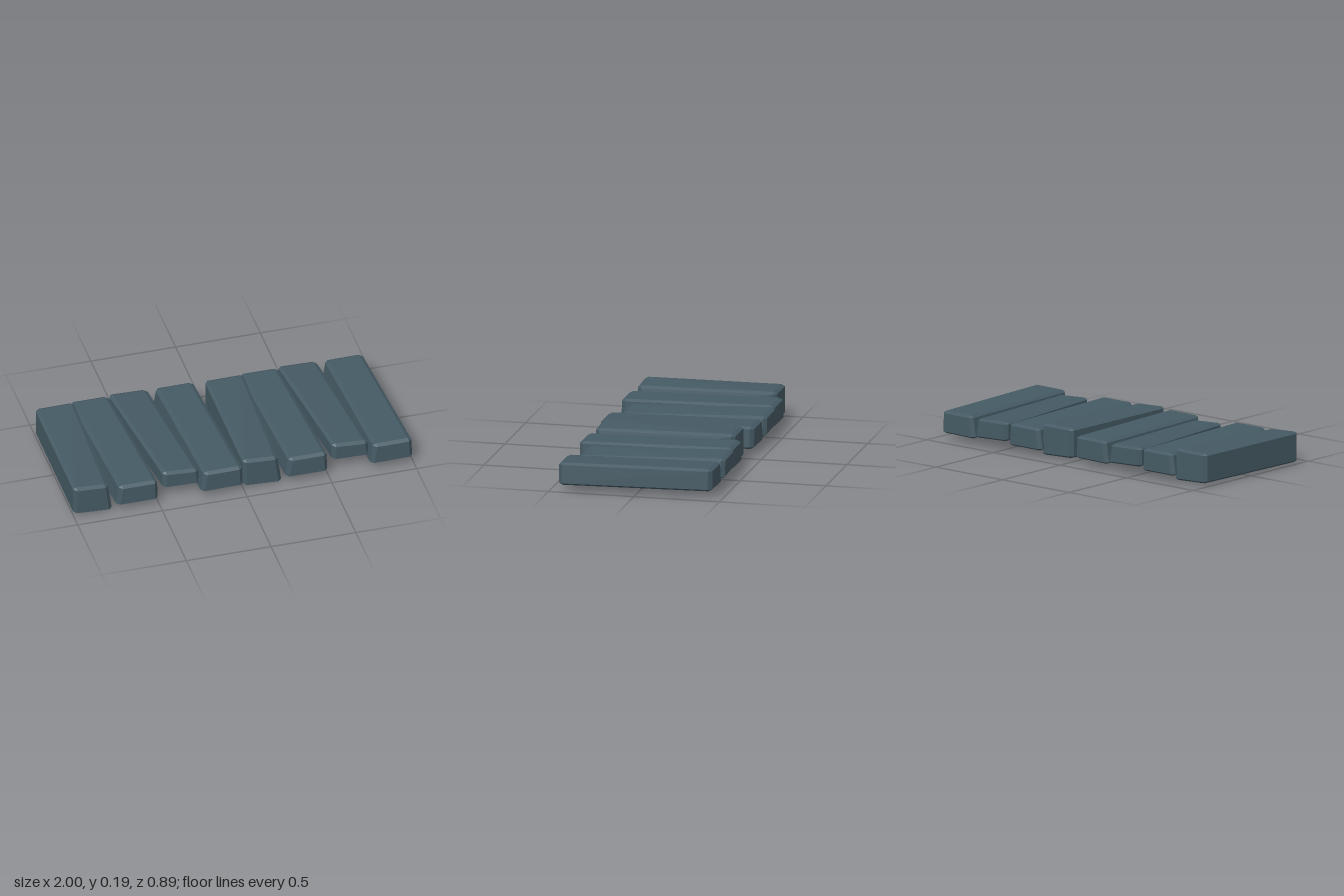
import * as THREE from 'three';
import { ConvexGeometry } from 'three/addons/geometries/ConvexGeometry.js';

// Each plank end lists bottom left, bottom right, top left, top right as [x, y].
const PLANKS = [
  {
    name: 'thickPlank', zFront: 0.42, zBack: -0.4,
    front: [[-1, 0.012], [-0.77, 0], [-1, 0.19], [-0.795, 0.178]],
    back: [[-1, 0.02], [-0.765, 0.01], [-1, 0.193], [-0.77, 0.195]],
  },
  {
    name: 'straightPlank', zFront: 0.445, zBack: -0.44,
    front: [[-0.755, 0.04], [-0.505, 0.04], [-0.735, 0.17], [-0.51, 0.17]],
    back: [[-0.8, 0.04], [-0.555, 0.04], [-0.78, 0.17], [-0.56, 0.17]],
  },
  {
    name: 'slantedPlank', zFront: 0.38, zBack: -0.45,
    front: [[-0.46, 0.06], [-0.24, 0.055], [-0.46, 0.168], [-0.25, 0.155]],
    back: [[-0.555, 0.06], [-0.31, 0.05], [-0.555, 0.172], [-0.33, 0.165]],
  },
  {
    name: 'endPlank', zFront: 0.445, zBack: -0.44,
    front: [[-0.255, 0.036], [-0.003, 0.04], [-0.235, 0.168], [-0.01, 0.17]],
    back: [[-0.3, 0.036], [-0.055, 0.04], [-0.28, 0.168], [-0.06, 0.17]],
  },
];
const BEVEL = [0.02, 0.012, 0.022]; // along width, height and length

// Skewed box with every edge chamfered: corner bits are x = 1, y = 2, z = 4.
function plankGeometry({ front, back, zFront, zBack }) {
  const corners = [
    ...back.map(([x, y]) => new THREE.Vector3(x, y, zBack)),
    ...front.map(([x, y]) => new THREE.Vector3(x, y, zFront)),
  ];
  const points = [];
  corners.forEach((corner, i) => {
    const inset = [0, 1, 2].map((axis) =>
      corners[i ^ (1 << axis)].clone().sub(corner).setLength(BEVEL[axis]));
    for (let axis = 0; axis < 3; axis++) {
      points.push(corner.clone()
        .add(inset[(axis + 1) % 3])
        .add(inset[(axis + 2) % 3]));
    }
  });
  return new ConvexGeometry(points);
}

export function createModel() {
  const model = new THREE.Group();
  model.name = 'plankWalkway';
  const slate = new THREE.MeshStandardMaterial({ color: 0x455a64 });
  slate.name = 'slate blue';
  slate.flatShading = true;

  // The same four planks are laid twice, side by side.
  const geometries = PLANKS.map(plankGeometry);
  ['right', 'left'].forEach((side, i) => {
    const section = new THREE.Group();
    section.name = `${side}Section`;
    section.position.x = i;
    PLANKS.forEach((plank, k) => {
      const mesh = new THREE.Mesh(geometries[k], slate);
      mesh.name = plank.name;
      section.add(mesh);
    });
    model.add(section);
  });
  return model;
}
